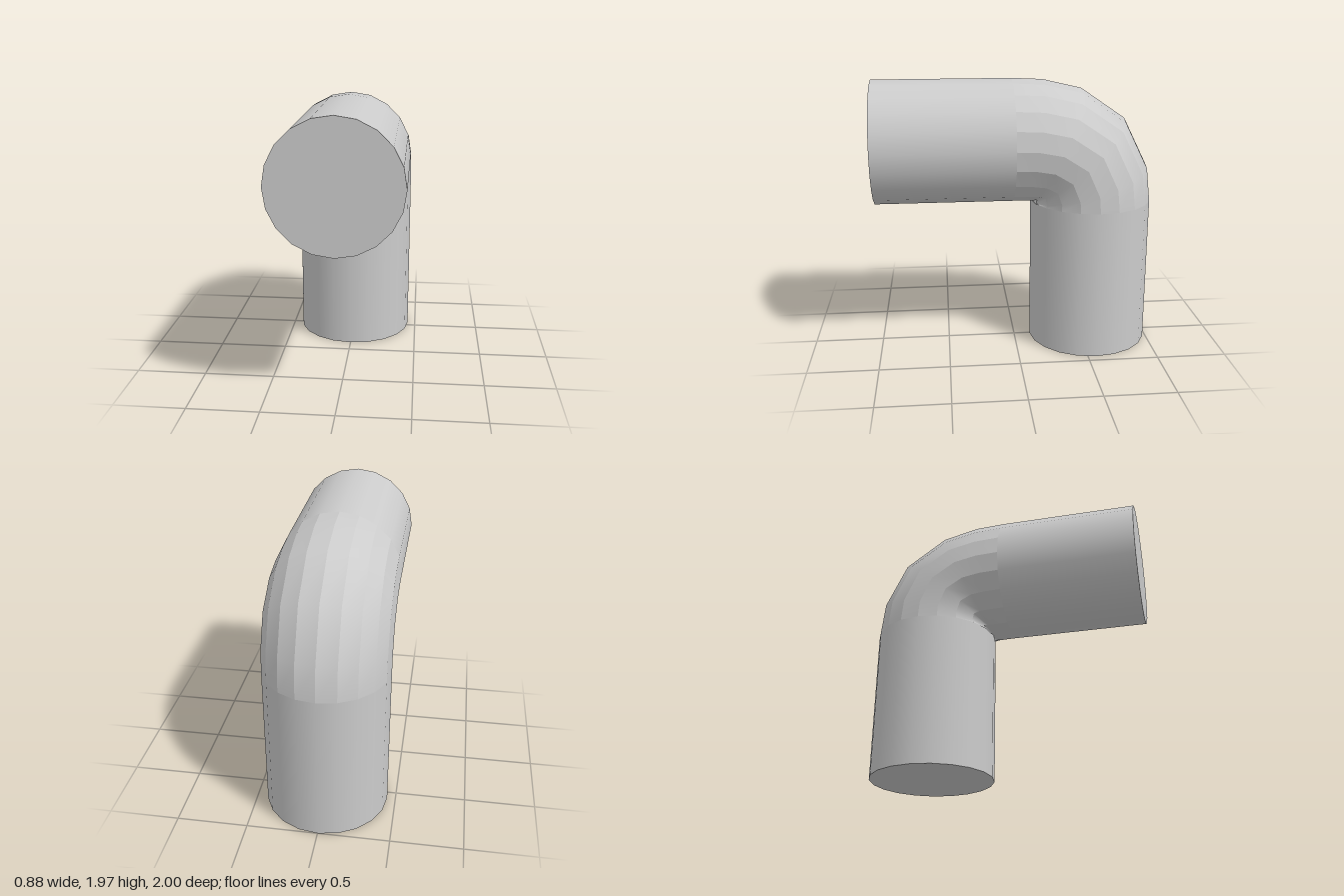
import * as THREE from 'three';

const R = 0.44, SIDES = 20;
const material = new THREE.MeshStandardMaterial({ color: 0xcccccc, side: THREE.DoubleSide });

// Straight pipe along y from 0 to length, capped at y = 0 only
function straightPipe(name, length) {
  const group = new THREE.Group();
  group.name = name;
  const wall = new THREE.Mesh(new THREE.CylinderGeometry(R, R, length, SIDES, 1, true), material);
  wall.name = name + 'Wall';
  wall.position.y = length / 2;
  const cap = new THREE.Mesh(new THREE.CircleGeometry(R, SIDES), material);
  cap.name = name + 'Cap';
  cap.rotation.x = Math.PI / 2;
  group.add(wall, cap);
  return group;
}

// Bend swept through rings; each strip has its own vertices, so it is
// smooth along the bend and faceted around it
function elbowGeometry(rings) {
  const positions = [], index = [];
  for (let s = 0; s < SIDES; s++) {
    const base = positions.length / 3;
    rings.forEach(([z, y, degrees], i) => {
      const tilt = THREE.MathUtils.degToRad(degrees);
      for (const k of [s, s + 1]) {
        const a = (k / SIDES) * Math.PI * 2;
        const out = R * Math.sin(a);
        positions.push(R * Math.cos(a), y + out * Math.cos(tilt), z - out * Math.sin(tilt));
      }
      if (i > 0) {
        const p = base + 2 * (i - 1);
        index.push(p, p + 2, p + 1, p + 1, p + 2, p + 3);
      }
    });
  }
  const geometry = new THREE.BufferGeometry();
  geometry.setAttribute('position', new THREE.Float32BufferAttribute(positions, 3));
  geometry.setIndex(index);
  geometry.computeVertexNormals();
  return geometry;
}

export function createModel() {
  const model = new THREE.Group();
  model.name = 'pipeElbow';

  // Upright pipe
  const upright = straightPipe('uprightPipe', 1.08);
  upright.position.z = -0.56;

  // Horizontal pipe, its cap facing the front
  const horizontal = straightPipe('horizontalPipe', 0.98);
  horizontal.rotation.x = -Math.PI / 2;
  horizontal.position.set(0, 1.525, 1);

  // Bend: z, y and tilt of each ring
  const elbow = new THREE.Mesh(elbowGeometry([
    [0.02, 1.525, 0],
    [-0.14, 1.519, 8],
    [-0.30, 1.488, 24],
    [-0.468, 1.381, 49],
    [-0.55, 1.20, 73],
    [-0.56, 1.08, 90],
  ]), material);
  elbow.name = 'elbow';

  model.add(upright, horizontal, elbow);
  return model;
}
